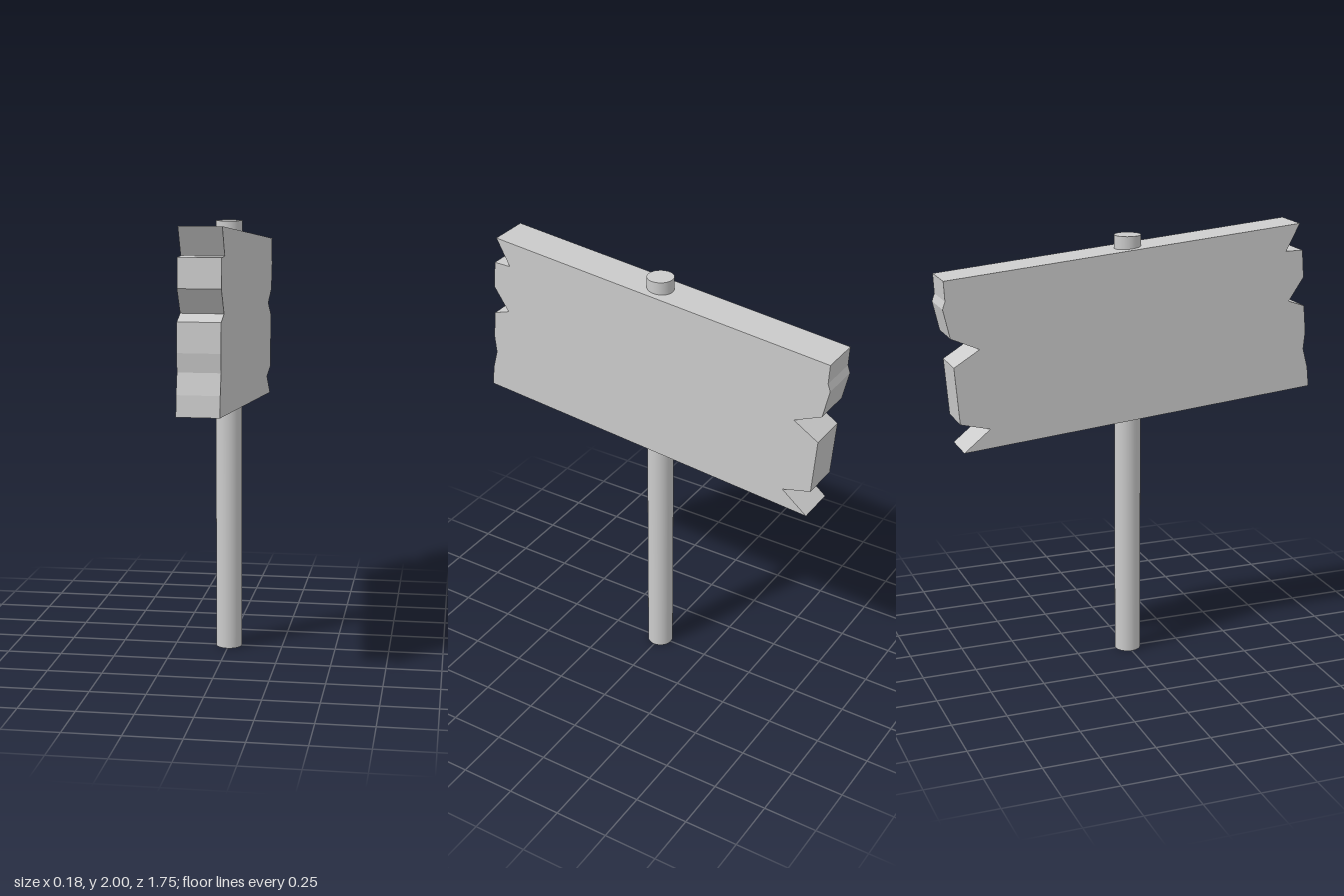
import * as THREE from 'three';

const POST_RADIUS = 0.06;
const POST_HEIGHT = 1.985;
const BOARD_THICKNESS = 0.182;

// Tilted board outline as [z, y]: splintered front end, then splintered back end
const FRONT_END = [
  [0.803, 2.0], [0.737, 1.876], [0.82, 1.876], [0.83, 1.75], [0.758, 1.643],
  [0.837, 1.616], [0.848, 1.49], [0.84, 1.41], [0.864, 1.32], [0.873, 1.23],
];
const BACK_END = [
  [-0.797, 1.084], [-0.676, 1.182], [-0.811, 1.216], [-0.832, 1.473], [-0.715, 1.545],
  [-0.843, 1.602], [-0.873, 1.733], [-0.861, 1.767], [-0.866, 1.855],
];

export function createModel() {
  const group = new THREE.Group();
  group.name = 'signpost';
  const material = new THREE.MeshStandardMaterial({ color: 0xcccccc });

  // Round post, running through the board and showing above it
  const postGeometry = new THREE.CylinderGeometry(POST_RADIUS, POST_RADIUS, POST_HEIGHT, 32);
  const post = new THREE.Mesh(postGeometry, material);
  post.name = 'post';
  post.position.y = POST_HEIGHT / 2;
  group.add(post);

  // Broken wooden board, extruded across x
  const outline = [...FRONT_END, ...BACK_END].map(([z, y]) => new THREE.Vector2(z, y));
  const boardGeometry = new THREE.ExtrudeGeometry(new THREE.Shape(outline), {
    depth: BOARD_THICKNESS,
    bevelEnabled: false,
  });
  boardGeometry.translate(0, 0, -BOARD_THICKNESS / 2);
  boardGeometry.rotateY(-Math.PI / 2);
  const board = new THREE.Mesh(boardGeometry, material);
  board.name = 'board';
  group.add(board);

  return group;
}
